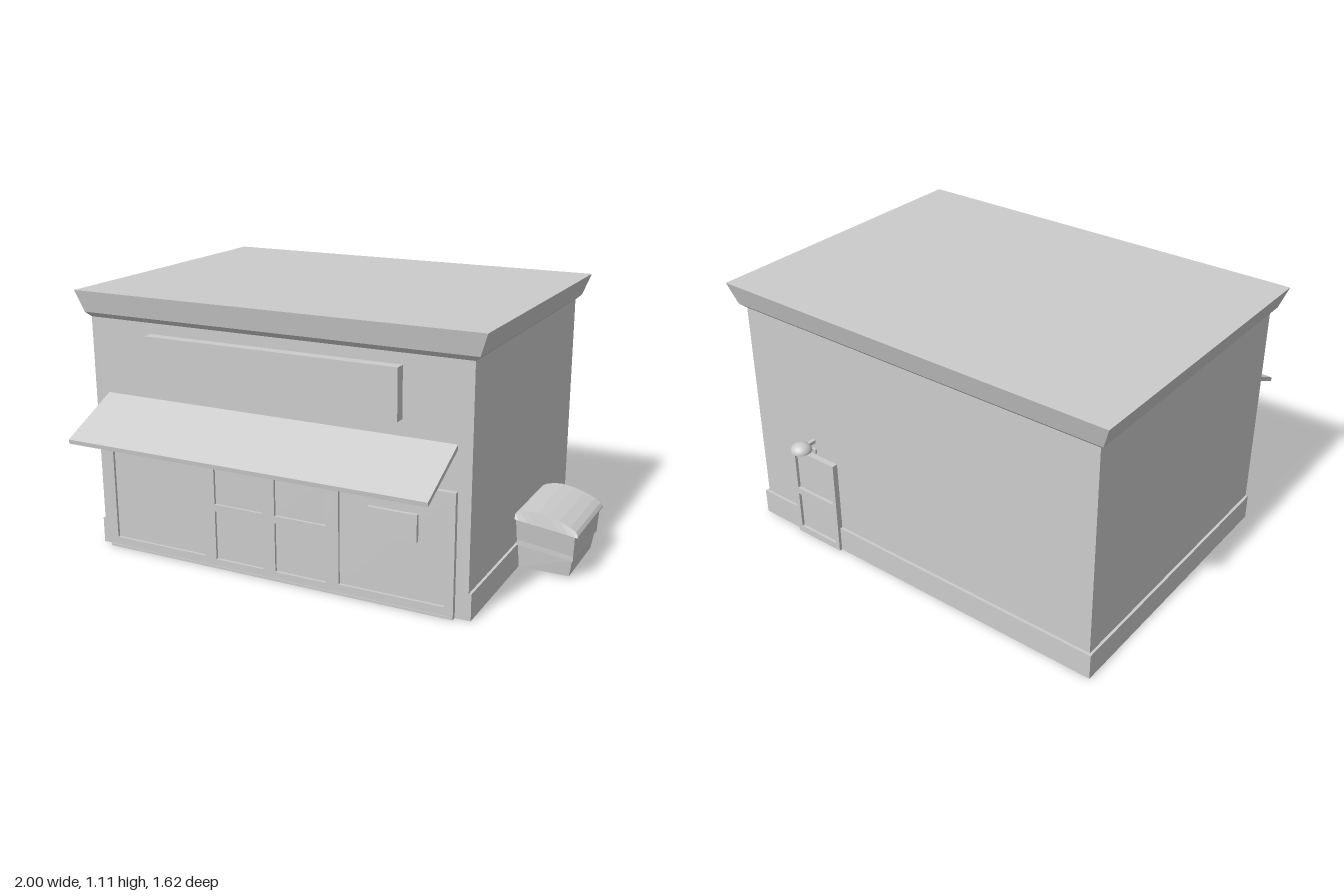
import * as THREE from 'three';

const mat = new THREE.MeshStandardMaterial({ color: 0xcccccc, flatShading: true, side: THREE.DoubleSide });
const smooth = new THREE.MeshStandardMaterial({ color: 0xcccccc, side: THREE.DoubleSide });

function add(parent, name, geometry, material = mat) {
  const mesh = new THREE.Mesh(geometry, material);
  mesh.name = name;
  parent.add(mesh);
  return mesh;
}

// Box given by its limits on each axis
function box(parent, name, x0, x1, y0, y1, z0, z1) {
  const mesh = add(parent, name, new THREE.BoxGeometry(x1 - x0, y1 - y0, z1 - z0));
  mesh.position.set((x0 + x1) / 2, (y0 + y1) / 2, (z0 + z1) / 2);
  return mesh;
}

// Skin through a row of four-cornered rings, with optional end caps
function loft(rings, capStart = true, capEnd = true) {
  const pos = [];
  const quad = (a, b, c, d) => [a, b, c, a, c, d].forEach((p) => pos.push(...p));
  for (let i = 0; i < rings.length - 1; i++) {
    for (let j = 0; j < 4; j++) {
      const k = (j + 1) % 4;
      quad(rings[i][j], rings[i][k], rings[i + 1][k], rings[i + 1][j]);
    }
  }
  if (capStart) quad(...[...rings[0]].reverse());
  if (capEnd) quad(...rings[rings.length - 1]);
  const g = new THREE.BufferGeometry();
  g.setAttribute('position', new THREE.Float32BufferAttribute(pos, 3));
  g.computeVertexNormals();
  return g;
}

// Level ring; the height may differ between the x0 and x1 sides
const ring = (x0, x1, z0, z1, yL, yR = yL) =>
  [[x1, yR, z1], [x1, yR, z0], [x0, yL, z0], [x0, yL, z1]];

function rectangle(Type, x0, x1, y0, y1) {
  const s = new Type();
  s.moveTo(x0, y0).lineTo(x1, y0).lineTo(x1, y1).lineTo(x0, y1).closePath();
  return s;
}

// Frame with openings [x0, x1, y0, y1], extruded from z = 0
function frame(outer, openings, depth) {
  const s = rectangle(THREE.Shape, ...outer);
  openings.forEach((o) => s.holes.push(rectangle(THREE.Path, ...o)));
  return new THREE.ExtrudeGeometry(s, { depth, bevelEnabled: false });
}

const X0 = -0.945, X1 = 0.733, Z0 = -0.69, Z1 = 0.54, H = 1.0;

function buildShell(root) {
  const shell = new THREE.Group();
  shell.name = 'building';
  root.add(shell);

  // Front wall with the shopfront opening
  const front = rectangle(THREE.Shape, X0, X1, 0, H);
  front.holes.push(rectangle(THREE.Path, -0.89, 0.67, 0.002, 0.495));
  add(shell, 'frontWall', new THREE.ShapeGeometry(front)).position.z = Z1;

  // Back and side walls
  const back = add(shell, 'backWall', new THREE.PlaneGeometry(X1 - X0, H));
  back.position.set((X0 + X1) / 2, H / 2, Z0);
  back.rotation.y = Math.PI;
  for (const [x, s, name] of [[X1, 1, 'leftWall'], [X0, -1, 'rightWall']]) {
    const side = add(shell, name, new THREE.PlaneGeometry(Z1 - Z0, H));
    side.position.set(x, H / 2, (Z0 + Z1) / 2);
    side.rotation.y = s * Math.PI / 2;
  }

  // Flared cornice and flat roof
  add(shell, 'corniceAndRoof', loft([
    ring(X0, X1, Z0, Z1, H),
    ring(-0.967, 0.755, -0.712, 0.556, 1.02),
    ring(-1, 0.787, -0.737, 0.573, 1.11),
  ], false, true));

  // Plinth on three sides
  box(shell, 'plinthLeft', X1, 0.744, 0, 0.11, -0.702, Z1);
  box(shell, 'plinthRight', -0.956, X0, 0, 0.11, -0.702, Z1);
  box(shell, 'plinthBack', X0, X1, 0, 0.11, -0.702, Z0);
}

function buildFront(root) {
  const front = new THREE.Group();
  front.name = 'shopfront';
  root.add(front);

  // Window and door openings
  const openings = [
    [-0.865, -0.42, 0.045, 0.47],
    [0.2, 0.645, 0.045, 0.47],
  ];
  for (const [a, b] of [[-0.365, -0.14], [-0.085, 0.145]]) {
    openings.push([a, b, 0.04, 0.25], [a, b, 0.28, 0.475]);
  }
  add(front, 'shopfrontFrame', frame([-0.9, 0.68, 0, 0.505], openings, 0.02)).position.z = Z1;
  for (const [x0, x1, y0, y1] of openings) {
    const pane = add(front, 'pane', new THREE.PlaneGeometry(x1 - x0, y1 - y0));
    pane.position.set((x0 + x1) / 2, (y0 + y1) / 2, 0.549);
  }
  box(front, 'sill', -0.9, 0.68, 0, 0.01, 0.56, 0.563);
  box(front, 'windowNotice', 0.325, 0.53, 0.285, 0.395, 0.549, 0.565);

  // Blank sign board and sloping awning
  box(root, 'signBoard', -0.65, 0.455, 0.75, 0.955, Z1, 0.585);
  const corners = [[0.54, 0.685], [0.54, 0.664], [0.808, 0.538], [0.81, 0.556]];
  add(root, 'awning', loft([-0.88, 0.675].map((x) =>
    [0, 3, 2, 1].map((i) => [x, corners[i][1], corners[i][0]]))));
}

function buildBack(root) {
  const door = new THREE.Group();
  door.name = 'backDoor';
  root.add(door);
  const panels = [[0.313, 0.513, 0.03, 0.2], [0.313, 0.513, 0.23, 0.4]];
  add(door, 'doorFrame', frame([0.293, 0.533, 0, 0.425], panels, 0.025)).position.z = -0.715;
  for (const p of panels) box(door, 'doorPanel', ...p, -0.702, Z0);

  // Dome lamp on a short arm over the door
  const lamp = new THREE.Group();
  lamp.name = 'doorLamp';
  root.add(lamp);
  const dome = add(lamp, 'lampShade',
    new THREE.SphereGeometry(0.044, 24, 8, 0, Math.PI * 2, 0, Math.PI / 2), smooth);
  dome.scale.y = 0.8;
  dome.position.set(0.415, 0.482, -0.763);
  const base = add(lamp, 'lampBase', new THREE.CircleGeometry(0.044, 24));
  base.rotation.x = Math.PI / 2;
  base.position.copy(dome.position);
  box(lamp, 'lampArm', 0.407, 0.423, 0.483, 0.498, -0.74, Z0);
  box(lamp, 'lampBracket', 0.405, 0.425, 0.435, 0.455, -0.698, Z0);
}

function buildBin(root) {
  const bin = new THREE.Group();
  bin.name = 'wasteBin';
  root.add(bin);

  // Tapered body with a stepped, slanting waist
  add(bin, 'binBody', loft([
    ring(0.752, 0.965, -0.307, 0.013, 0.01),
    ring(0.748, 0.976, -0.316, 0.021, 0.11, 0.082),
    ring(0.745, 0.982, -0.332, 0.03, 0.112, 0.085),
    ring(0.745, 0.982, -0.332, 0.03, 0.136, 0.106),
    ring(0.742, 0.988, -0.337, 0.042, 0.225, 0.195),
  ]));

  // Curved lid: x, underside height, top height
  const profile = [
    [0.736, 0.229, 0.25], [0.755, 0.226, 0.26], [0.79, 0.222, 0.268], [0.825, 0.217, 0.27],
    [0.87, 0.211, 0.263], [0.92, 0.205, 0.249], [0.965, 0.199, 0.23], [0.99, 0.195, 0.214],
    [1, 0.194, 0.2],
  ];
  add(bin, 'binLid', loft(profile.map(([x, yb, yt]) =>
    [[x, yt, -0.332], [x, yt, 0.036], [x, yb, 0.046], [x, yb, -0.342]])));
}

export function createModel() {
  const root = new THREE.Group();
  root.name = 'cornerShop';
  buildShell(root);
  buildFront(root);
  buildBack(root);
  buildBin(root);
  return root;
}
